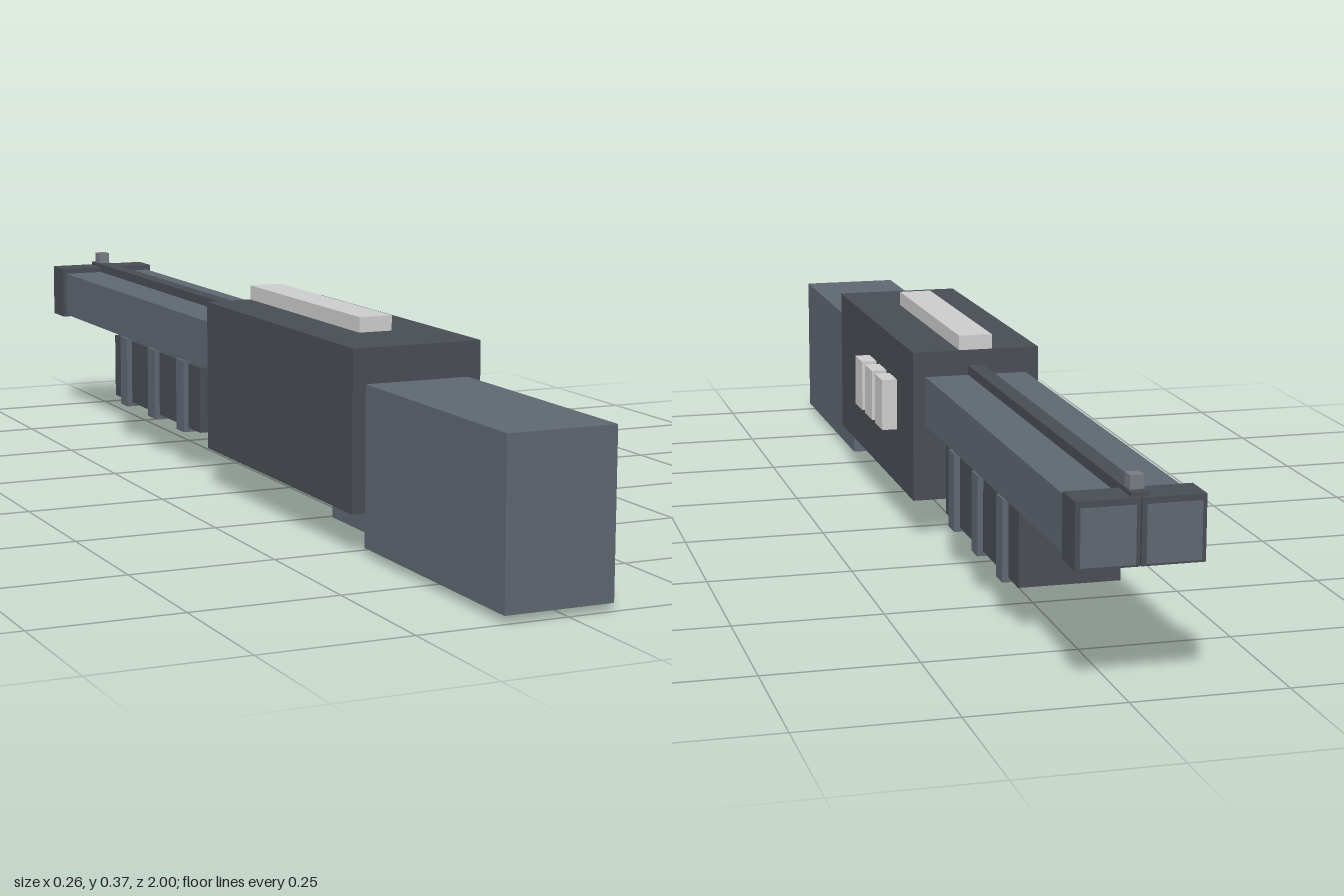
import * as THREE from 'three';

export function createModel() {
  const model = new THREE.Group();
  const mat = (color) => new THREE.MeshStandardMaterial({ color, flatShading: true });
  const steel = mat(0x5e6670), dark = mat(0x484d54), light = mat(0xcccccc), sightGrey = mat(0x777b80);
  const midX = -0.015; // centre line of the body

  // Box given by its extents along each axis
  const box = (name, material, [x0, x1], [y0, y1], [z0, z1], parent = model) => {
    const mesh = new THREE.Mesh(new THREE.BoxGeometry(x1 - x0, y1 - y0, z1 - z0), material);
    mesh.position.set((x0 + x1) / 2, (y0 + y1) / 2, (z0 + z1) / 2);
    mesh.name = name;
    parent.add(mesh);
    return mesh;
  };
  const span = (c, half) => [c - half, c + half];

  // Body
  box('stock', steel, span(midX, 0.092), [0.013, 0.281], [0.535, 1]);
  box('receiver', dark, span(midX, 0.115), [0.07, 0.34], [-0.078, 0.537]);
  box('topRail', light, span(midX, 0.03), [0.34, 0.366], [-0.076, 0.383]);
  box('trigger', steel, span(midX, 0.019), [0, 0.066], [0.257, 0.445]);

  // Spare shells on the left side of the receiver
  const shells = new THREE.Group();
  shells.name = 'sideShells';
  model.add(shells);
  for (const z of [0.077, 0.162, 0.247]) {
    box('shell', light, [0.1, 0.128], [0.173, 0.266], span(z, 0.03), shells);
  }

  // Twin square barrels, each with a muzzle band
  for (const [side, s] of [['left', 1], ['right', -1]]) {
    const x = midX + s * 0.05;
    box(side + 'Barrel', steel, span(x, 0.042), [0.207, 0.295], [-1, -0.078]);
    box(side + 'MuzzleBand', dark, span(x, 0.049), [0.203, 0.305], [-0.997, -0.935]);
  }
  box('barrelRib', dark, span(midX, 0.014), [0.285, 0.312], [-0.99, -0.078]);
  box('frontSight', sightGrey, span(midX, 0.011), [0.305, 0.333], [-0.975, -0.951]);

  // Forearm with raised grip bands
  const forearm = new THREE.Group();
  forearm.name = 'forearm';
  model.add(forearm);
  box('grip', dark, span(midX, 0.084), [0.076, 0.2], [-0.655, -0.193], forearm);
  for (const z of [-0.27, -0.423, -0.577]) {
    box('gripBand', steel, span(midX, 0.094), [0.068, 0.205], span(z, 0.019), forearm);
  }

  return model;
}
